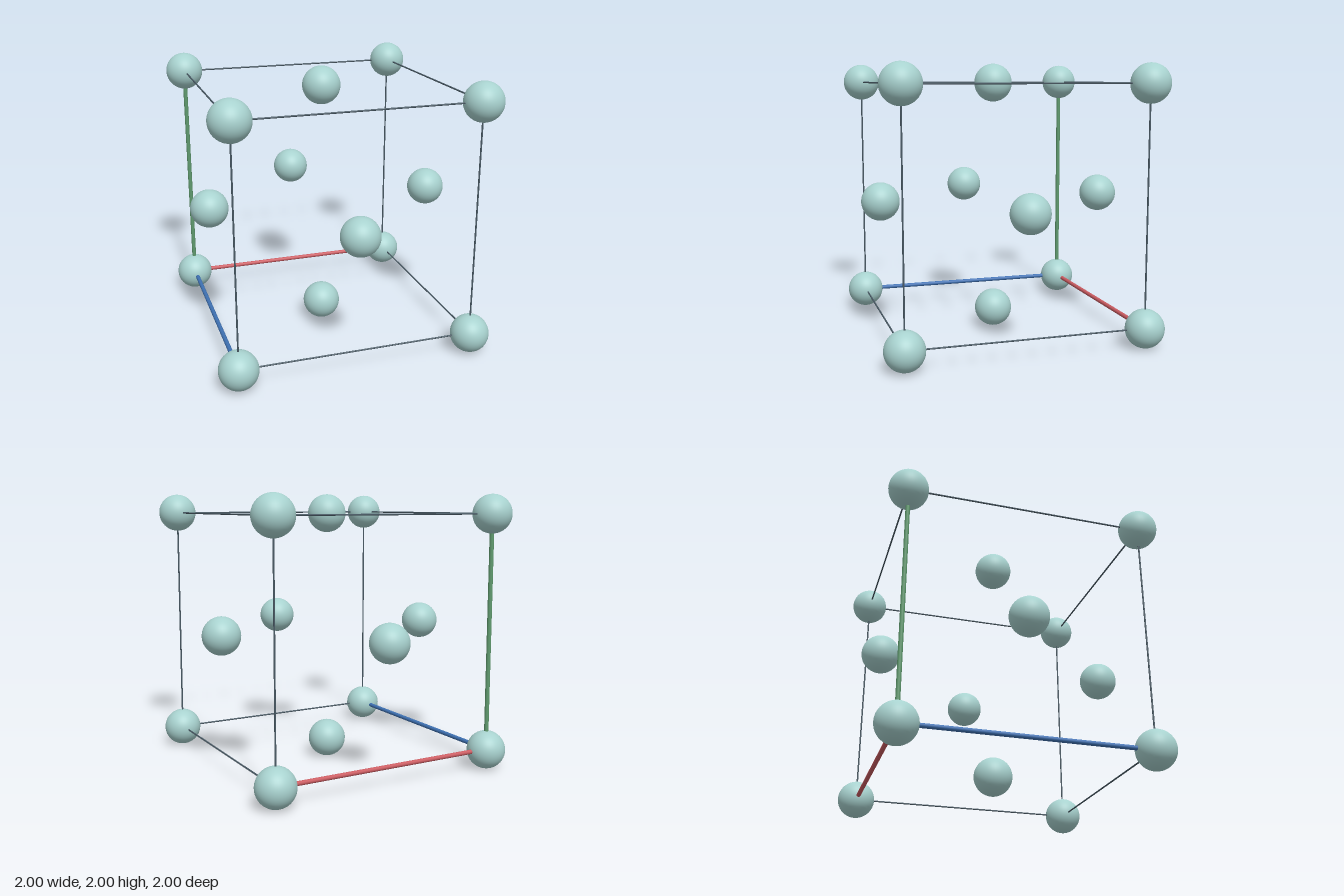
import * as THREE from 'three';

const H = 0.86; // half edge of the cell
const CY = 1; // height of the cell centre
const BALL_R = 0.14;

const mat = (name, color) => {
  const m = new THREE.MeshStandardMaterial({ color });
  m.name = name;
  return m;
};

export function createModel() {
  const model = new THREE.Group();
  model.name = 'cubicCell';

  const ballMat = mat('pale teal', 0xa8d2cf);
  const edgeMat = mat('slate', 0x4a5b66);
  const axisMats = [mat('red', 0xcc5c62), mat('green', 0x5f9a6e), mat('blue', 0x3f72b4)];

  const ballGeo = new THREE.SphereGeometry(BALL_R, 40, 24);
  const edgeGeo = new THREE.CylinderGeometry(0.006, 0.006, 2 * H, 10);
  const axisGeo = new THREE.CylinderGeometry(0.016, 0.016, 2 * H, 16);

  const add = (name, geo, material, p) => {
    const mesh = new THREE.Mesh(geo, material);
    mesh.name = name;
    mesh.position.set(p[0] * H, CY + p[1] * H, p[2] * H);
    model.add(mesh);
    return mesh;
  };

  // Balls at the eight corners
  for (const x of [-1, 1]) for (const y of [-1, 1]) for (const z of [-1, 1]) {
    add('cornerBall', ballGeo, ballMat, [x, y, z]);
  }

  for (let axis = 0; axis < 3; axis++) {
    // Balls at the centres of the two faces across this axis
    for (const s of [-1, 1]) {
      const p = [0, 0, 0];
      p[axis] = s;
      add('faceBall', ballGeo, ballMat, p);
    }
    // Four parallel rods; the one from the back right bottom corner is a thick coloured axis
    for (const a of [-1, 1]) for (const b of [-1, 1]) {
      const p = [0, 0, 0];
      p[(axis + 1) % 3] = a;
      p[(axis + 2) % 3] = b;
      const isAxis = a < 0 && b < 0;
      const rod = isAxis
        ? add(['redAxis', 'greenAxis', 'blueAxis'][axis], axisGeo, axisMats[axis], p)
        : add('edgeRod', edgeGeo, edgeMat, p);
      if (axis === 0) rod.rotation.z = -Math.PI / 2;
      if (axis === 2) rod.rotation.x = Math.PI / 2;
    }
  }

  return model;
}
